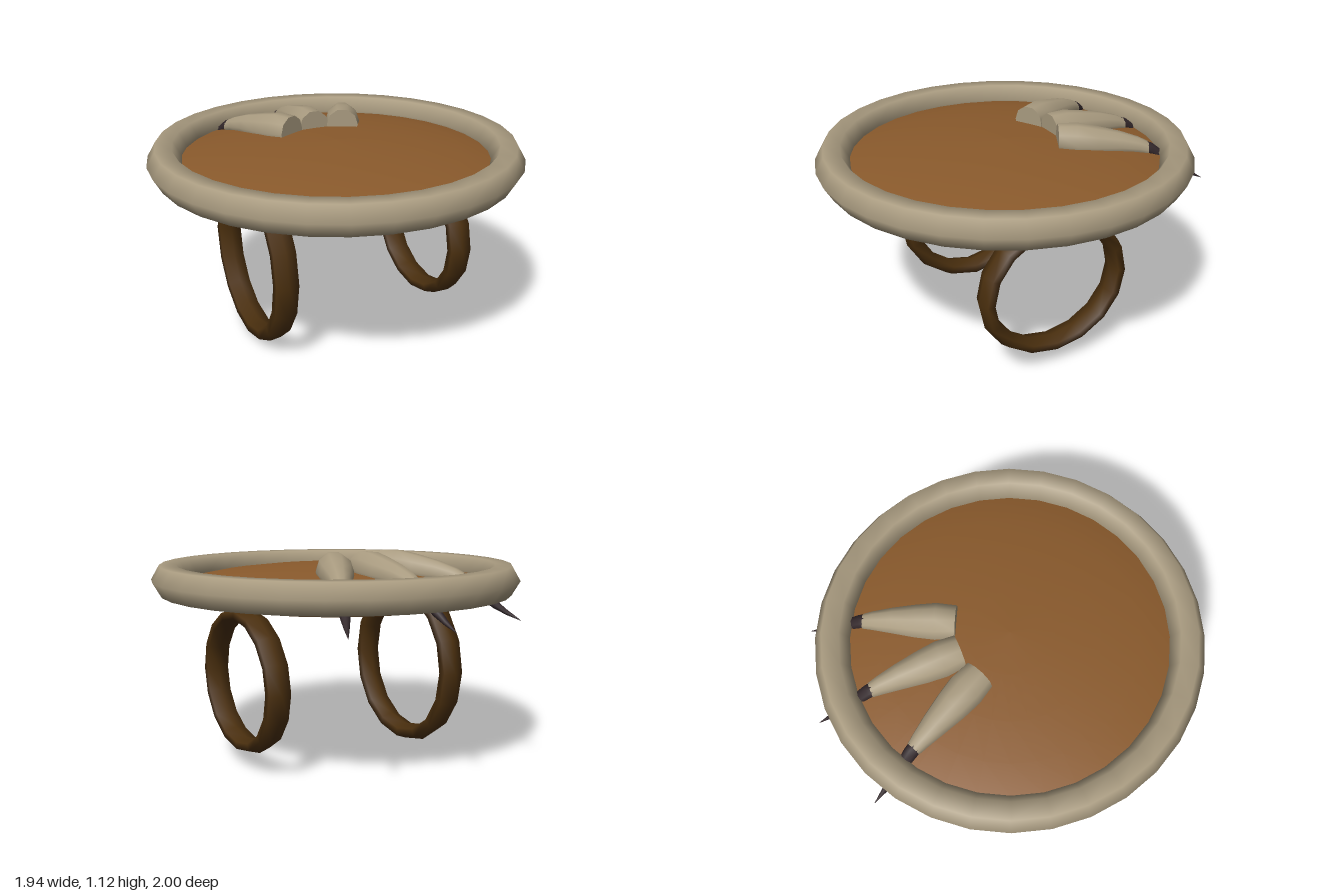
import * as THREE from 'three';

const mat = (name, color, side = THREE.FrontSide) => {
  const m = new THREE.MeshStandardMaterial({ color, side });
  m.name = name;
  return m;
};

// Tapered tube swept along -z; sections are [distance, centre height, radius]
function taper(sections, sides = 10) {
  const pos = [], idx = [];
  for (const [s, y, r] of sections) {
    for (let i = 0; i < sides; i++) {
      const a = (i / sides) * Math.PI * 2;
      pos.push(Math.cos(a) * r, y + Math.sin(a) * r, -s);
    }
  }
  for (let k = 0; k < sections.length - 1; k++) {
    for (let i = 0; i < sides; i++) {
      const j = (i + 1) % sides;
      const a = k * sides + i, b = k * sides + j, c = a + sides, d = b + sides;
      idx.push(a, c, b, b, c, d);
    }
  }
  // flat end cap with its own vertices, so the edge stays sharp
  const start = pos.length / 3;
  pos.push(...pos.slice(0, sides * 3));
  for (let i = 1; i < sides - 1; i++) idx.push(start, start + i, start + i + 1);
  const g = new THREE.BufferGeometry();
  g.setAttribute('position', new THREE.Float32BufferAttribute(pos, 3));
  g.setIndex(idx);
  g.computeVertexNormals();
  return g;
}

export function createModel() {
  const model = new THREE.Group();
  model.name = 'shield';
  const bone = mat('bone', 0xa99b80);
  const wood = mat('wood', 0x8a5a2c);
  const leather = mat('leather', 0x4a2f0e);
  const horn = mat('horn', 0x32272a);
  const add = (parent, name, geometry, material) => {
    const mesh = new THREE.Mesh(geometry, material);
    mesh.name = name;
    parent.add(mesh);
    return mesh;
  };
  const centreZ = 0.03;

  // Rounded rim with a six-sided section
  const rim = add(model, 'rim', new THREE.TorusGeometry(0.883, 0.087, 6, 32).rotateX(-Math.PI / 2), bone);
  rim.position.set(0, 0.965, centreZ);

  // Shallow domed boards, closed above and below
  const profile = [
    [0, 0.82], [0.25, 0.828], [0.5, 0.84], [0.72, 0.855], [0.84, 0.89], [0.87, 0.93],
    [0.8, 0.955], [0.65, 0.985], [0.45, 1.01], [0.22, 1.027], [0, 1.033],
  ].map(([r, y]) => new THREE.Vector2(r, y));
  add(model, 'boards', new THREE.LatheGeometry(profile, 32), wood).position.z = centreZ;

  // Three fingers with claws hooked over and through the rim
  const fingerShape = [
    [0, 1.035, 0.085], [0.1, 1.027, 0.095], [0.2, 1.018, 0.085],
    [0.32, 1.01, 0.066], [0.42, 0.995, 0.048], [0.47, 0.98, 0.038],
  ];
  const clawShape = [
    [0.44, 0.99, 0.038], [0.49, 0.975, 0.036], [0.54, 0.94, 0.032],
    [0.62, 0.885, 0.025], [0.69, 0.845, 0.014], [0.765, 0.81, 0.001],
  ];
  const fingerGeometry = taper(fingerShape), clawGeometry = taper(clawShape, 8);
  const names = ['rightFinger', 'middleFinger', 'leftFinger'];
  [-1, 0, 1].forEach((side, i) => {
    const finger = new THREE.Group();
    finger.name = names[i];
    finger.position.set(side * 0.15, 0, side ? -0.195 : -0.235);
    finger.rotation.y = -side * 0.455;
    add(finger, 'finger', fingerGeometry, bone);
    add(finger, 'claw', clawGeometry, horn);
    model.add(finger);
  });

  // Arm loops beneath: the larger one sinks into the boards
  const loop = (name, x, y, z, radius, tube, tall) => {
    const g = new THREE.TorusGeometry(radius, tube, 6, 16).rotateY(Math.PI / 2);
    const mesh = add(model, name, g, leather);
    mesh.scale.set(0.06 / (tube * Math.sin(Math.PI / 3)), tall, 1);
    mesh.position.set(x, y, z);
  };
  loop('rightArmLoop', -0.46, 0.463, 0.012, 0.405, 0.043, 1.033);
  loop('leftArmLoop', 0.535, 0.456, 0.05, 0.373, 0.04, 0.92);

  return model;
}
